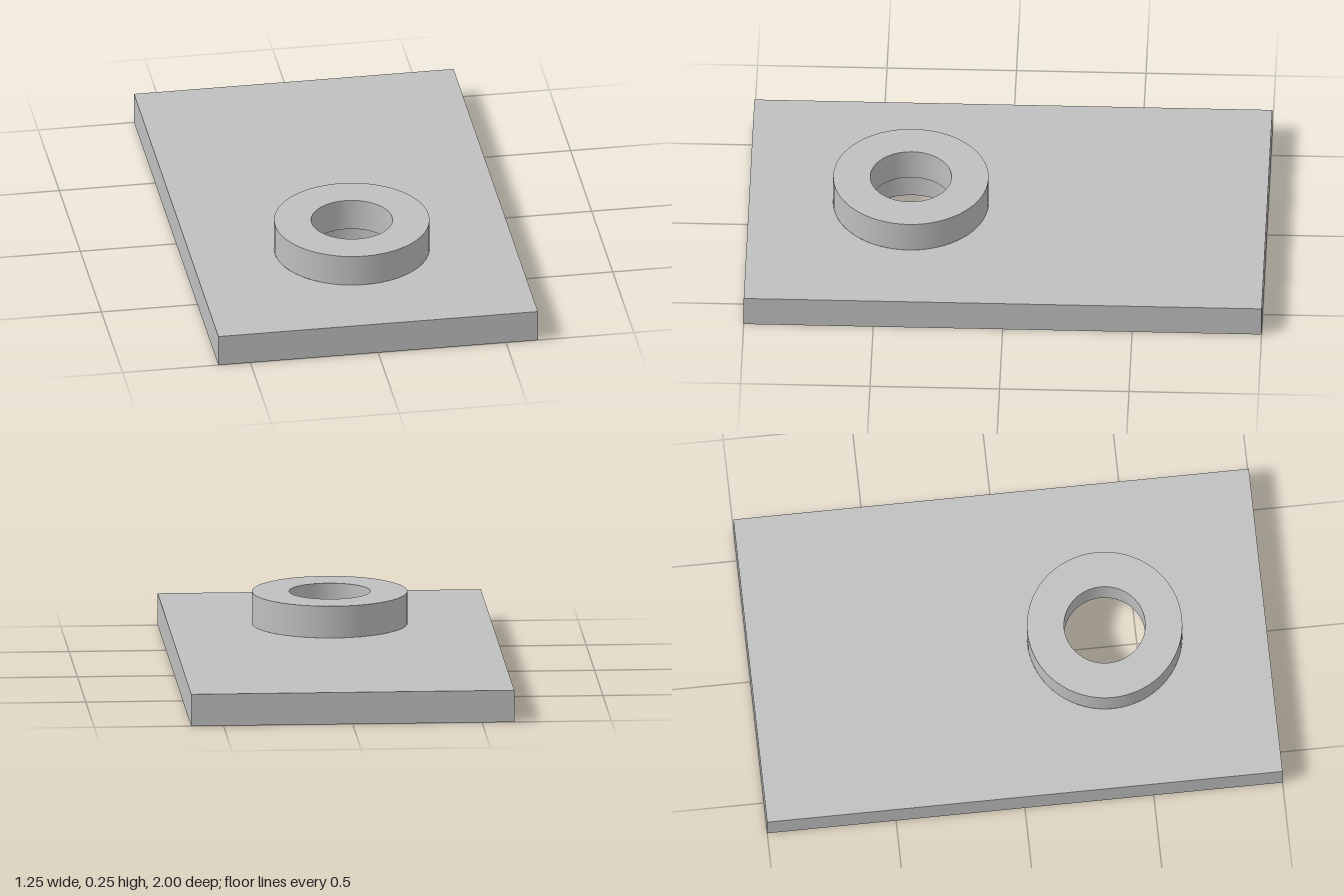
import * as THREE from 'three';
import { mergeGeometries } from 'three/addons/utils/BufferGeometryUtils.js';

const W = 1.25, L = 2, T = 0.125;            // plate width, length, thickness
const BOSS_Z = 0.375, BOSS_R = 0.3, BOSS_TOP = 0.25;
const BORE_R = 0.157, RECESS_R = 0.206;
const PIN_R = 0.032, PIN_DEPTH = 0.08;
const SEGMENTS = 64;

// Turned surface with a hard edge at every profile corner
function turned(points) {
  const bands = [];
  for (let i = 0; i < points.length - 1; i++) {
    const pair = [points[i], points[i + 1]].map(([r, y]) => new THREE.Vector2(r, y));
    bands.push(new THREE.LatheGeometry(pair, SEGMENTS));
  }
  return mergeGeometries(bands);
}

// Flat rectangle pierced by circles given as [x, y, radius]
function piercedSheet(circles) {
  const s = new THREE.Shape();
  s.moveTo(-W / 2, -L / 2);
  s.lineTo(W / 2, -L / 2);
  s.lineTo(W / 2, L / 2);
  s.lineTo(-W / 2, L / 2);
  s.closePath();
  for (const [x, y, r] of circles) {
    s.holes.push(new THREE.Path().absarc(x, y, r, 0, Math.PI * 2, true));
  }
  return new THREE.ShapeGeometry(s, SEGMENTS);
}

export function createModel() {
  const model = new THREE.Group();
  model.name = 'bossedPlate';
  const material = new THREE.MeshStandardMaterial({ color: 0xbfbfbf });
  material.name = 'plain grey';

  const add = (name, geometry, x = 0, z = 0) => {
    const mesh = new THREE.Mesh(geometry, material);
    mesh.name = name;
    mesh.position.set(x, 0, z);
    model.add(mesh);
  };

  // Two mirrored pairs of blind holes beside the recess
  const pins = [];
  for (const x of [-0.3, 0.3]) {
    for (const dz of [-0.1, 0.1]) pins.push([x, BOSS_Z + dz]);
  }

  // Plate faces
  const top = piercedSheet([[0, -BOSS_Z, BOSS_R]]);
  add('plateTop', top.rotateX(-Math.PI / 2).translate(0, T, 0));
  const bottom = piercedSheet([[0, BOSS_Z, RECESS_R], ...pins.map(([x, z]) => [x, z, PIN_R])]);
  add('plateBottom', bottom.rotateX(Math.PI / 2));

  // Plate edges
  const edges = [];
  for (let i = 0; i < 4; i++) {
    const [width, distance] = i % 2 ? [L, W / 2] : [W, L / 2];
    edges.push(new THREE.PlaneGeometry(width, T)
      .translate(0, T / 2, distance).rotateY(i * Math.PI / 2));
  }
  add('plateEdges', mergeGeometries(edges));

  // Round boss with its bore, and the wider recess underneath
  add('boss', turned([[BOSS_R, T], [BOSS_R, BOSS_TOP], [BORE_R, BOSS_TOP], [BORE_R, T]]), 0, BOSS_Z);
  add('recess', turned([[BORE_R, T], [RECESS_R, T], [RECESS_R, 0]]), 0, BOSS_Z);

  // Blind pin holes
  for (const [x, z] of pins) {
    add('pinHole', turned([[0, PIN_DEPTH], [PIN_R, PIN_DEPTH], [PIN_R, 0]]), x, z);
  }
  return model;
}
